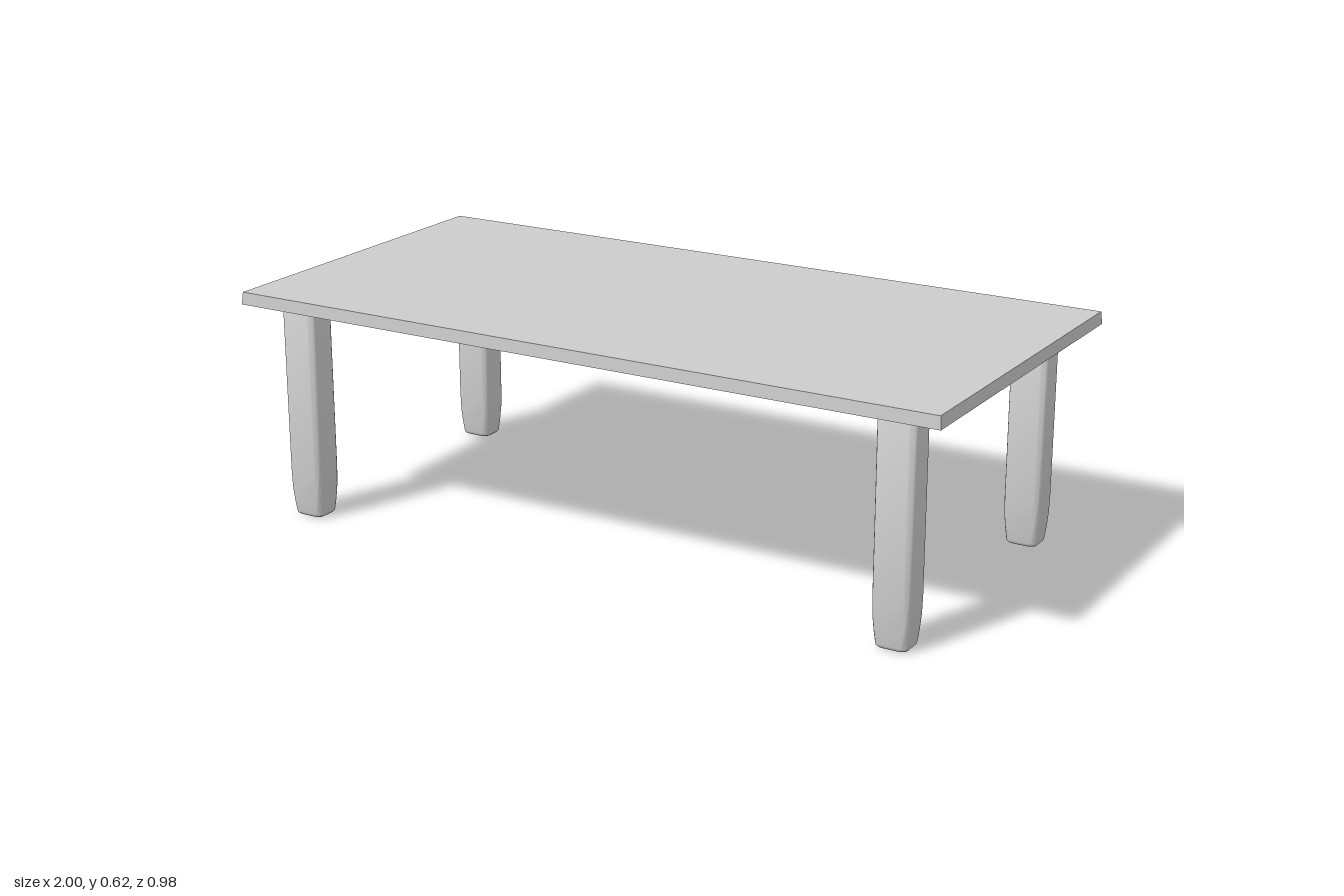
import * as THREE from 'three';
import { toCreasedNormals } from 'three/addons/utils/BufferGeometryUtils.js';

const material = new THREE.MeshStandardMaterial({ color: 0xcccccc });

// Outline of a rounded rectangle in x and z
function outline(halfX, halfZ, radius, steps = 4) {
  const points = [];
  const signs = [[1, 1], [-1, 1], [-1, -1], [1, -1]];
  signs.forEach(([sx, sz], corner) => {
    for (let i = 0; i <= steps; i++) {
      const a = (corner + i / steps) * Math.PI / 2;
      points.push([
        sx * (halfX - radius) + radius * Math.cos(a),
        sz * (halfZ - radius) + radius * Math.sin(a),
      ]);
    }
  });
  return points;
}

// Leg lofted through rings of [height, inset], closed at both ends
function legGeometry() {
  const rings = [
    [0, 0.018], [0.002, 0.012], [0.006, 0.008], [0.012, 0.007], [0.04, 0.004],
    [0.08, 0.001], [0.13, 0], [0.581, 0], [0.586, 0.002], [0.588, 0.006],
  ];
  const positions = [];
  const index = [];
  for (const [y, inset] of rings) {
    for (const [x, z] of outline(0.05 - inset, 0.045 - inset, 0.016)) positions.push(x, y, z);
  }
  const n = positions.length / 3 / rings.length;
  const bottom = positions.length / 3;
  positions.push(0, 0, 0, 0, 0.588, 0);
  const last = (rings.length - 1) * n;
  for (let i = 0; i < n; i++) {
    const j = (i + 1) % n;
    for (let r = 0; r < last; r += n) {
      index.push(r + i, r + n + i, r + j, r + j, r + n + i, r + n + j);
    }
    index.push(bottom, i, j, bottom + 1, last + j, last + i);
  }
  const geometry = new THREE.BufferGeometry();
  geometry.setAttribute('position', new THREE.Float32BufferAttribute(positions, 3));
  geometry.setIndex(index);
  return toCreasedNormals(geometry, 0.7);
}

// Flat slab whose edges lean in slightly towards the top
function topGeometry() {
  const geometry = new THREE.BoxGeometry(2, 0.033, 0.98);
  const p = geometry.attributes.position;
  for (let i = 0; i < p.count; i++) {
    if (p.getY(i) > 0) {
      p.setX(i, p.getX(i) - 0.003 * Math.sign(p.getX(i)));
      p.setZ(i, p.getZ(i) - 0.003 * Math.sign(p.getZ(i)));
    }
  }
  geometry.computeVertexNormals();
  return geometry;
}

export function createModel() {
  const table = new THREE.Group();
  table.name = 'table';

  const top = new THREE.Mesh(topGeometry(), material);
  top.name = 'tabletop';
  top.position.y = 0.605;
  table.add(top);

  // Four legs set in from the corners
  const leg = legGeometry();
  for (const [side, x] of [['Left', 0.862], ['Right', -0.867]]) {
    for (const [end, z] of [['front', 0.389], ['back', -0.389]]) {
      const mesh = new THREE.Mesh(leg, material);
      mesh.name = `${end}${side}Leg`;
      mesh.position.set(x, 0, z);
      table.add(mesh);
    }
  }
  return table;
}
